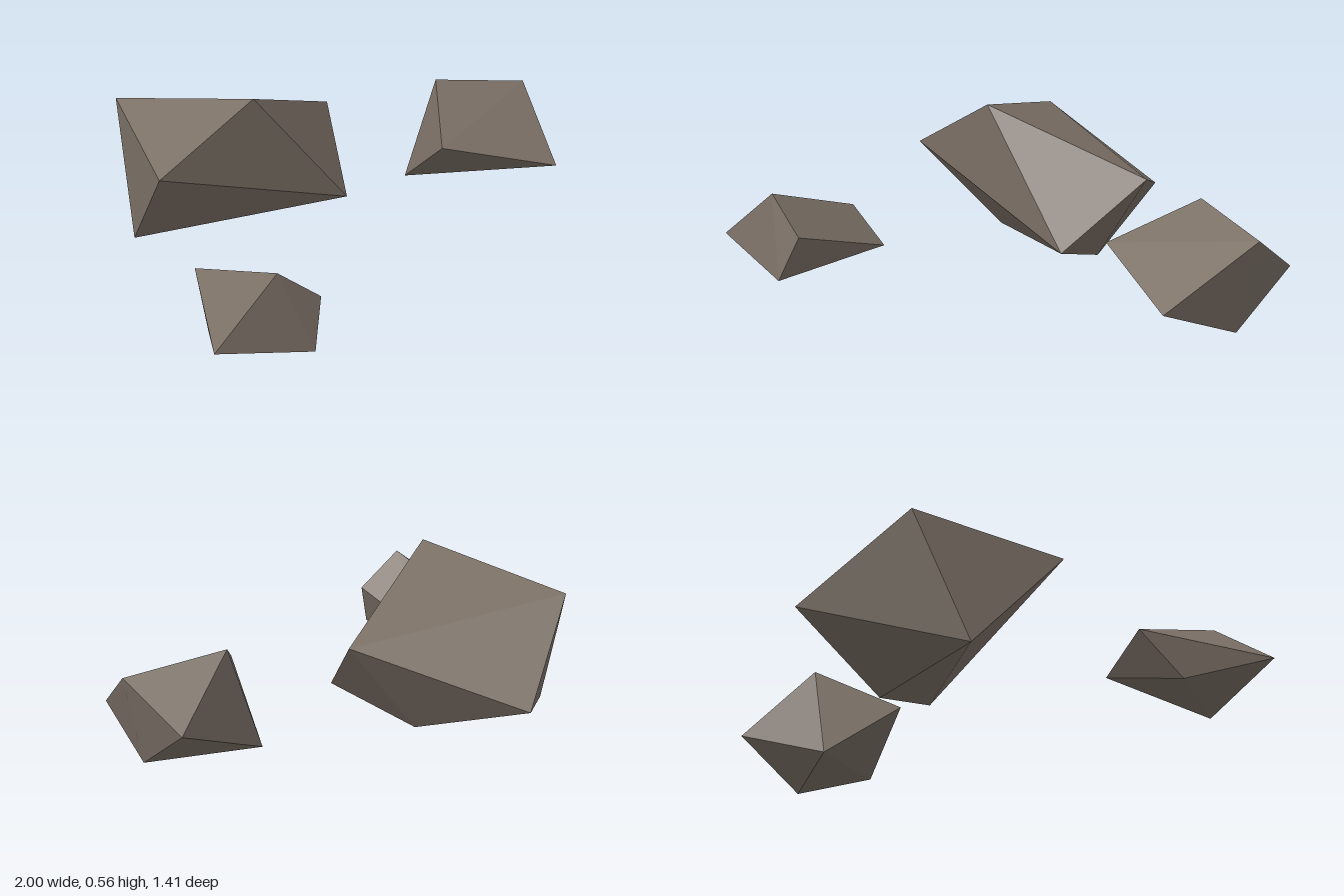
import * as THREE from 'three';
import { ConvexGeometry } from 'three/addons/geometries/ConvexGeometry.js';

// Each rock is the faceted hull of a few corner points
const ROCKS = {
  largeRock: [
    [-0.26, 0.565, 0.02], [-0.41, 0.455, -0.53], [-0.64, 0.36, -0.04], [0.30, 0.34, -0.18],
    [-0.04, 0.16, -0.705], [0.13, 0.10, 0.09], [0.04, 0, -0.24], [-0.50, 0, -0.345],
  ],
  leftRock: [
    [0.67, 0.38, 0.02], [1.0, 0.325, 0.165], [0.45, 0.24, 0.255], [0.96, 0.175, -0.085],
    [0.84, 0.12, 0.47], [0.56, 0.012, -0.025], [0.92, 0, 0.17],
  ],
  rightRock: [
    [-0.74, 0.285, 0.63], [-0.58, 0.16, 0.665], [-0.73, 0.16, 0.23], [-1.0, 0.09, 0.615],
    [-0.56, 0.04, 0.25], [-0.645, 0, 0.705], [-0.80, 0, 0.37],
  ],
};

export function createModel() {
  const group = new THREE.Group();
  group.name = 'rocks';
  const stone = new THREE.MeshStandardMaterial({ color: 0x7a6f65, flatShading: true });
  stone.name = 'stone';

  for (const [name, corners] of Object.entries(ROCKS)) {
    const points = corners.map((c) => new THREE.Vector3(...c));
    const rock = new THREE.Mesh(new ConvexGeometry(points), stone);
    rock.name = name;
    group.add(rock);
  }
  return group;
}
